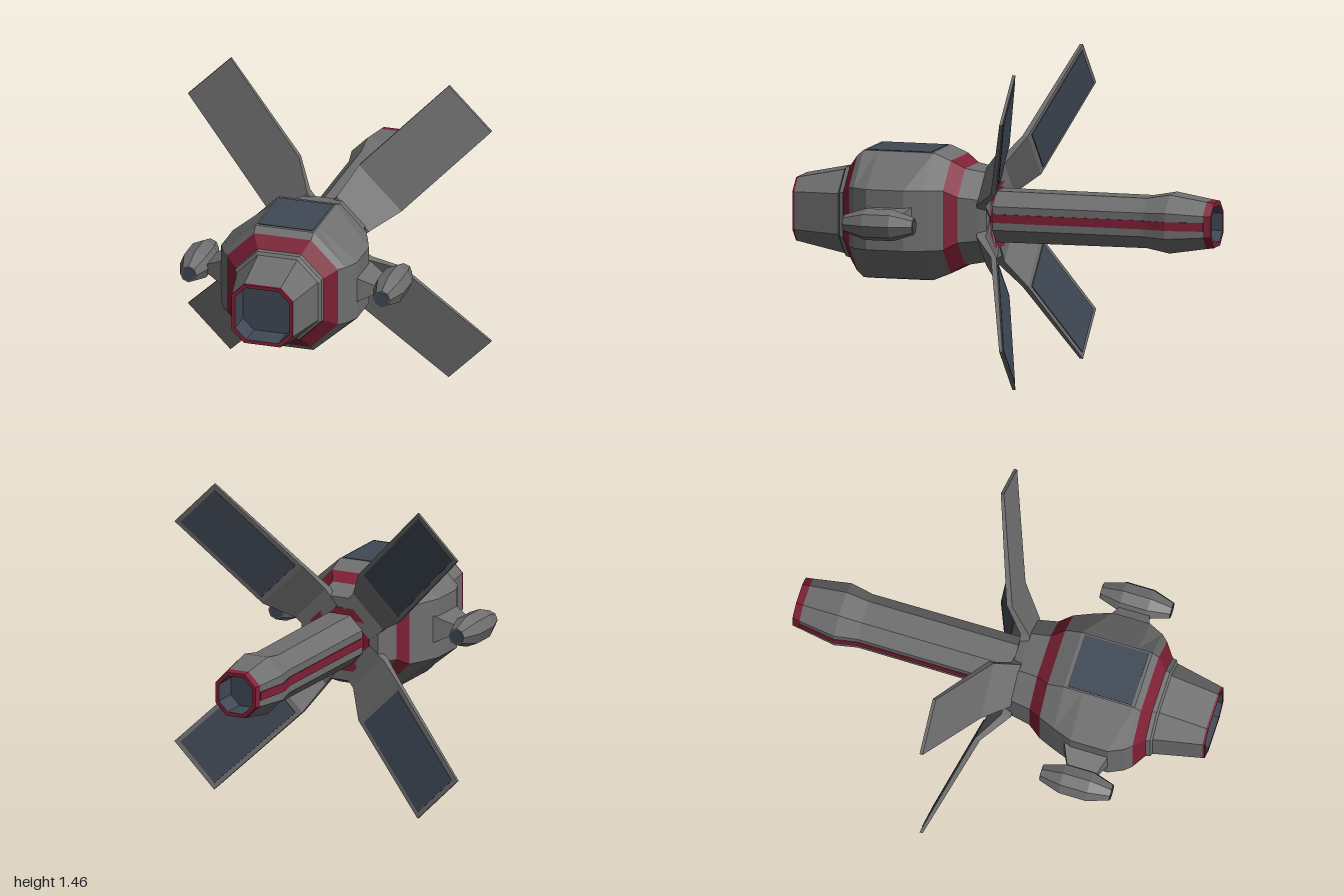
import * as THREE from 'three';

const grey = new THREE.MeshStandardMaterial({ color: 0x6f6f6f });
grey.name = 'hull grey';
const red = new THREE.MeshStandardMaterial({ color: 0x7f2036 });
red.name = 'trim red';
const blue = new THREE.MeshStandardMaterial({ color: 0x404956 });
blue.name = 'panel slate blue';

// Flat-faced skin through loops of points; loops run counter-clockwise seen along the path.
function loft(name, material, loops, capped = false) {
  const out = [];
  const tri = (a, b, c) => out.push(...a, ...b, ...c);
  for (let s = 0; s < loops.length - 1; s++) {
    const A = loops[s], B = loops[s + 1], n = A.length;
    for (let i = 0; i < n; i++) {
      const j = (i + 1) % n;
      tri(A[i], B[i], B[j]);
      tri(A[i], B[j], A[j]);
    }
  }
  if (capped) {
    const A = loops[0], B = loops[loops.length - 1];
    for (let i = 1; i < A.length - 1; i++) {
      tri(A[0], A[i], A[i + 1]);
      tri(B[0], B[i + 1], B[i]);
    }
  }
  const geo = new THREE.BufferGeometry();
  geo.setAttribute('position', new THREE.Float32BufferAttribute(out, 3));
  geo.computeVertexNormals();
  const mesh = new THREE.Mesh(geo, material);
  mesh.name = name;
  return mesh;
}

// Octagon across the z axis: half height r, half flat f, half width w.
const ring = (z, r, f = r * 0.4142, w = r) => [
  [w, -f, z], [w, f, z], [f, r, z], [-f, r, z],
  [-w, f, z], [-w, -f, z], [-f, -r, z], [f, -r, z],
];

// Rectangle across the x axis: half width t in y, front and back z.
const slab = (x, t, front, back) => [[x, t, front], [x, t, back], [x, -t, back], [x, -t, front]];

// One swept arm with its panel on the rear face, pointing along +x.
function makeWing(angle) {
  const wing = new THREE.Group();
  wing.name = 'wing';
  wing.add(loft('wingArm', grey, [
    slab(0.12, 0.1, 0.09, 0.045),
    slab(0.21, 0.11, 0.09, 0.045),
    slab(0.35, 0.145, -0.018, -0.045),
    slab(0.89, 0.145, -0.177, -0.192),
  ], true));
  const rear = (x) => -0.045 - (x - 0.35) * 0.147 / 0.54;
  wing.add(loft('wingPanel', blue, [0.375, 0.868].map(
    (x) => slab(x, 0.124, rear(x) + 0.001, rear(x) - 0.004)), true));
  wing.rotation.z = angle;
  return wing;
}

// Side pod on its tapered pylon, pointing along +x.
function makePod(angle) {
  const side = new THREE.Group();
  side.name = 'sidePod';
  side.add(loft('podPylon', grey, [
    slab(0.27, 0.08, 0.62, 0.35),
    slab(0.325, 0.06, 0.59, 0.38),
    slab(0.41, 0.02, 0.56, 0.42),
  ], true));
  const pod = new THREE.Group();
  pod.name = 'pod';
  pod.add(loft('podShell', grey, [
    ring(0.168, 0.037), ring(0.065, 0.068), ring(-0.065, 0.068), ring(-0.168, 0.037),
  ], true));
  for (const end of [1, -1]) {
    pod.add(loft('podEnd', blue, [ring(end * 0.166 + 0.004, 0.031), ring(end * 0.166 - 0.004, 0.031)], true));
  }
  pod.position.set(0.467, 0, 0.483);
  pod.rotation.z = Math.PI / 8;
  side.add(pod);
  side.rotation.z = angle;
  return side;
}

export function createModel() {
  const model = new THREE.Group();
  model.name = 'spaceStation';
  const craft = new THREE.Group();
  craft.name = 'craft';
  craft.position.y = 0.735;
  model.add(craft);

  // Nose with open mouth
  craft.add(loft('noseRecess', blue, [ring(0.88, 0), ring(0.88, 0.13, 0.078), ring(0.999, 0.13, 0.078)]));
  craft.add(loft('noseRim', red, [ring(0.999, 0.13, 0.078), ring(1, 0.147, 0.088), ring(0.99, 0.149, 0.088)]));
  craft.add(loft('nose', grey, [
    ring(0.99, 0.149, 0.088), ring(0.765, 0.195, 0.095),
    ring(0.755, 0.208, 0.102), ring(0.735, 0.212, 0.105),
  ]));

  // Main body between two red collars
  craft.add(loft('frontCollar', red, [ring(0.735, 0.212, 0.105), ring(0.69, 0.268, 0.138)]));
  craft.add(loft('body', grey, [
    ring(0.69, 0.268, 0.138), ring(0.66, 0.295, 0.14), ring(0.59, 0.295, 0.14, 0.328),
    ring(0.41, 0.295, 0.14, 0.328), ring(0.32, 0.295, 0.14, 0.295), ring(0.24, 0.262, 0.138),
  ]));
  craft.add(loft('rearCollar', red, [ring(0.24, 0.262, 0.138), ring(0.18, 0.225, 0.105)]));
  craft.add(loft('hub', grey, [
    ring(0.18, 0.225, 0.105), ring(0.085, 0.208, 0.095), ring(0.05, 0.198, 0.09), ring(0.05, 0.15, 0.07),
  ]));
  craft.add(loft('boomCollar', red, [ring(0.05, 0.15, 0.07), ring(0.045, 0.15, 0.07), ring(0.045, 0.118, 0.055)]));

  // Windows on top and underneath
  for (const y of [1, -1]) {
    const win = new THREE.Mesh(new THREE.BoxGeometry(0.265, 0.008, 0.31), blue);
    win.name = 'window';
    win.position.set(0, y * 0.294, 0.49);
    craft.add(win);
  }

  // Tail boom with open end
  craft.add(loft('boom', grey, [
    ring(0.05, 0.119, 0.055), ring(-0.68, 0.116, 0.055), ring(-0.79, 0.136, 0.06), ring(-0.965, 0.109, 0.05),
  ]));
  craft.add(loft('boomRim', red, [
    ring(-0.965, 0.109, 0.05), ring(-1, 0.104, 0.048), ring(-1, 0.086, 0.04),
  ]));
  craft.add(loft('boomRecess', blue, [ring(-1, 0.086, 0.04), ring(-0.88, 0.086, 0.04), ring(-0.88, 0)]));

  // Red stripe along each side of the boom
  const boomWidth = [[0.05, 0.119], [-0.68, 0.116], [-0.79, 0.136], [-0.965, 0.109]];
  for (const angle of [0, Math.PI]) {
    const stripe = loft('boomStripe', red, boomWidth.map(([z, w]) => [
      [w + 0.005, -0.02, z], [w + 0.005, 0.02, z], [w - 0.003, 0.02, z], [w - 0.003, -0.02, z],
    ]), true);
    stripe.rotation.z = angle;
    craft.add(stripe, makePod(angle));
  }

  for (let i = 0; i < 4; i++) craft.add(makeWing(Math.PI / 4 + i * Math.PI / 2));
  return model;
}
